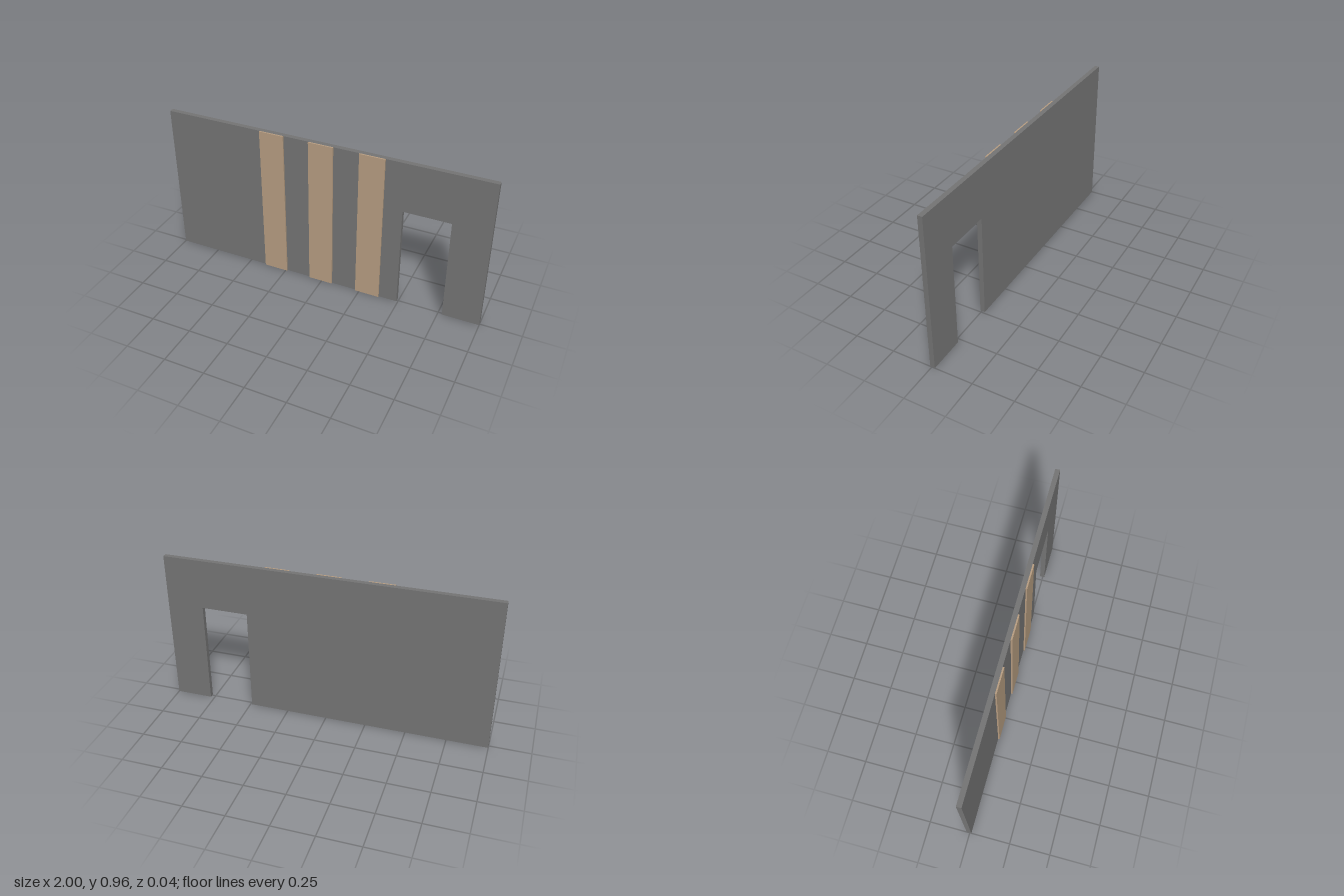
import * as THREE from 'three';

const HEIGHT = 0.96;
const BACK = -0.019, FACE = 0.01, FRONT = 0.019;

export function createModel() {
  const wallGrey = new THREE.MeshStandardMaterial({ color: 0x757575 });
  wallGrey.name = 'wallGrey';
  const panelTan = new THREE.MeshStandardMaterial({ color: 0xb89e82 });
  panelTan.name = 'panelTan';

  const model = new THREE.Group();
  model.name = 'wallWithDoorway';

  // Wall slab, its outline stepping around the doorway
  const outline = new THREE.Shape([
    [-1, 0], [0.49, 0], [0.49, 0.65], [0.775, 0.65],
    [0.775, 0], [1, 0], [1, HEIGHT], [-1, HEIGHT],
  ].map(([x, y]) => new THREE.Vector2(x, y)));
  const wall = new THREE.Mesh(
    new THREE.ExtrudeGeometry(outline, { depth: FACE - BACK, bevelEnabled: false }),
    wallGrey,
  );
  wall.name = 'wall';
  wall.position.z = BACK;
  model.add(wall);

  // Three raised vertical panels on the front
  const panelGeometry = new THREE.BoxGeometry(0.152, HEIGHT, FRONT - FACE);
  [-0.317, -0.008, 0.301].forEach((x, i) => {
    const panel = new THREE.Mesh(panelGeometry, panelTan);
    panel.name = `verticalPanel${i + 1}`;
    panel.position.set(x, HEIGHT / 2, (FACE + FRONT) / 2);
    model.add(panel);
  });

  return model;
}
